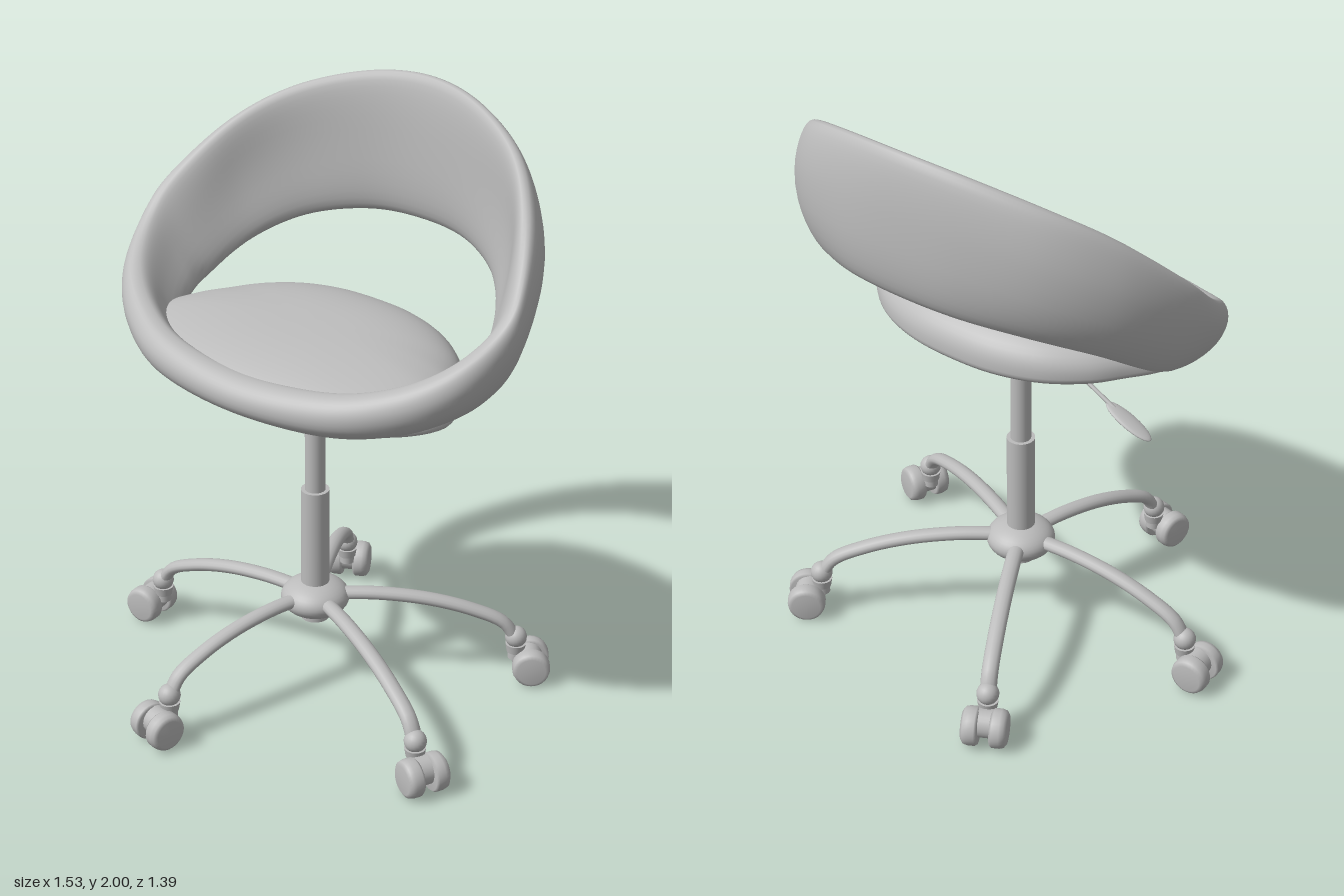
import * as THREE from 'three';

const grey = new THREE.MeshStandardMaterial({ color: 0xbcbcbc });
grey.name = 'grey';

const V = (x, y, z) => new THREE.Vector3(x, y, z);
const spow = (v, p) => Math.sign(v) * Math.pow(Math.abs(v), p);

function add(parent, name, geo, x = 0, y = 0, z = 0) {
  const m = new THREE.Mesh(geo, grey);
  m.name = name;
  m.position.set(x, y, z);
  parent.add(m);
  return m;
}

// Closed curve through key points given from front to back, mirrored in x
function mirroredLoop(keys, sign = -1) {
  const pts = keys.map(k => V(...k));
  for (let i = keys.length - 2; i > 0; i--) pts.push(V(sign * keys[i][0], keys[i][1], keys[i][2]));
  return new THREE.CatmullRomCurve3(pts, true, 'catmullrom', 0.5);
}

// Surface from nu cross-sections of nv points, closed round u
function loft(nu, nv, closedV, fn) {
  const pos = [], idx = [];
  for (let i = 0; i < nu; i++) for (let j = 0; j < nv; j++) pos.push(...fn(i / nu, j).toArray());
  const at = (i, j) => (i % nu) * nv + (j % nv);
  for (let i = 0; i < nu; i++) for (let j = 0; j < (closedV ? nv : nv - 1); j++) {
    idx.push(at(i, j), at(i, j + 1), at(i + 1, j));
    idx.push(at(i + 1, j), at(i, j + 1), at(i + 1, j + 1));
  }
  const g = new THREE.BufferGeometry();
  g.setAttribute('position', new THREE.Float32BufferAttribute(pos, 3));
  g.setIndex(idx);
  g.computeVertexNormals();
  return g;
}

// Ring that rises from the front roll through the arms to the backrest
function backrestGeometry() {
  const top = mirroredLoop([
    [0, 1.28, 0.36], [0.3, 1.30, 0.33], [0.5, 1.345, 0.25], [0.64, 1.42, 0.14], [0.71, 1.52, 0],
    [0.695, 1.63, -0.11], [0.59, 1.79, -0.28], [0.44, 1.9, -0.42], [0.22, 1.975, -0.52], [0, 2, -0.555]]);
  const bottom = mirroredLoop([
    [0, 1.15, 0.34], [0.3, 1.155, 0.3], [0.48, 1.18, 0.21], [0.58, 1.215, 0.1], [0.61, 1.24, -0.02],
    [0.6, 1.28, -0.13], [0.52, 1.385, -0.29], [0.39, 1.46, -0.43], [0.2, 1.5, -0.525], [0, 1.51, -0.55]]);
  // half thickness, outward bow, inner flare at the foot
  const form = mirroredLoop([
    [0.06, 0.02, 0.6], [0.06, 0.02, 0.6], [0.06, 0.02, 0.8], [0.06, 0.02, 0.9], [0.055, 0.02, 0.8],
    [0.055, 0.02, 0.35], [0.055, 0.035, 0.1], [0.055, 0.025, 0], [0.052, 0.01, 0], [0.05, 0.005, 0]], 1);
  const nv = 36;
  return loft(144, nv, true, (u, j) => {
    const T = top.getPoint(u), B = bottom.getPoint(u), f = form.getPoint(u);
    const n = V(T.x / 0.555, 0, (T.z + 0.08) / 0.265).normalize();
    const a = j / nv * Math.PI * 2;
    const s = 0.5 + 0.5 * spow(Math.cos(a), 0.85), side = spow(Math.sin(a), 0.8);
    const flare = side < 0 ? 1 + f.z * (1 - s) : 1;
    const off = f.x * side * flare * (1.1 - 0.25 * s) + f.y * Math.sin(Math.PI * s);
    return B.lerp(T, s).addScaledVector(n, off);
  });
}

// Padded seat with a domed top and flatter underside
function seatGeometry() {
  const edge = mirroredLoop([
    [0, 0, 0.40], [0.3, 0, 0.37], [0.5, 0, 0.27], [0.6, 0, 0.13], [0.57, 0, 0],
    [0.505, 0, -0.1], [0.43, 0, -0.2], [0.31, 0, -0.29], [0.16, 0, -0.342], [0, 0, -0.355]]);
  const nv = 33;
  return loft(96, nv, false, (u, j) => {
    const e = edge.getPoint(u), a = Math.PI / 2 - j / (nv - 1) * Math.PI;
    const r = Math.pow(Math.max(Math.cos(a), 0), 0.75), s = Math.sin(a);
    const x = e.x * r, z = 0.02 + (e.z - 0.02) * r;
    const height = s > 0 ? 0.135 - 0.07 * z : 0.068;
    return V(x, 1.21 + height * spow(s, 0.85), z);
  });
}

// Curved leg running out along +z from the hub, widened slightly
function addLeg(parent, reach) {
  const k = reach / 0.64;
  const path = new THREE.CatmullRomCurve3([
    V(0, 0.325, 0.05), V(0, 0.325, 0.2 * k), V(0, 0.305, 0.36 * k),
    V(0, 0.265, 0.5 * k), V(0, 0.215, 0.6 * k), V(0, 0.15, 0.64 * k)]);
  add(parent, 'leg', new THREE.TubeGeometry(path, 32, 0.021, 14)).scale.x = 1.3;
}

// Twin-wheel caster trailing outward
function addCaster(parent, reach) {
  const c = new THREE.Group();
  c.name = 'caster';
  c.position.z = reach;
  parent.add(c);
  add(c, 'casterStem', new THREE.CylinderGeometry(0.026, 0.026, 0.1, 20), 0, 0.13, 0);
  add(c, 'casterCollar', new THREE.SphereGeometry(0.037, 20, 14), 0, 0.16, 0);
  add(c, 'casterCup', new THREE.CylinderGeometry(0.035, 0.03, 0.03, 20), 0, 0.12, 0);
  const axle = new THREE.CylinderGeometry(0.048, 0.048, 0.06, 24).rotateZ(Math.PI / 2);
  add(c, 'casterHousing', axle, 0, 0.075, 0.045);
  // wheel outline with a rounded rim
  const profile = [[0, -0.028], [0.048, -0.028], [0.06, -0.02], [0.064, -0.006], [0.064, 0.018],
    [0.058, 0.026], [0, 0.028]].map(p => new THREE.Vector2(...p));
  for (const s of [-1, 1]) {
    const w = add(c, 'casterWheel', new THREE.LatheGeometry(profile, 28), s * 0.046, 0.064, 0.052);
    w.rotation.z = s * Math.PI / 2;
  }
}

export function createModel() {
  const model = new THREE.Group();
  model.name = 'swivelChair';
  add(model, 'backrest', backrestGeometry());
  add(model, 'seat', seatGeometry());

  // Column and base share one axis
  const base = new THREE.Group();
  base.name = 'base';
  base.position.set(-0.015, 0, -0.015);
  model.add(base);
  add(base, 'mountPlate', new THREE.CylinderGeometry(0.125, 0.125, 0.025, 40), 0, 1.1375, 0);
  const funnel = [[0.036, 1.0], [0.045, 1.03], [0.055, 1.055], [0.085, 1.085], [0.108, 1.11], [0.112, 1.13]];
  add(base, 'mountFunnel', new THREE.LatheGeometry(funnel.map(p => new THREE.Vector2(...p)), 36));
  add(base, 'upperColumn', new THREE.CylinderGeometry(0.034, 0.034, 0.36, 28), 0, 0.88, 0);
  add(base, 'lowerColumn', new THREE.CylinderGeometry(0.047, 0.047, 0.42, 32), 0, 0.51, 0);
  add(base, 'hub', new THREE.SphereGeometry(0.115, 36, 20), 0, 0.315, 0).scale.y = 0.56;
  add(base, 'hubCap', new THREE.CylinderGeometry(0.05, 0.048, 0.06, 28), 0, 0.265, 0);

  // Five legs, each ending at a caster pivot (x, z)
  for (const [x, z] of [[-0.13, 0.585], [0.645, 0.285], [0.53, -0.42], [-0.31, -0.555], [-0.64, 0.06]]) {
    const spoke = new THREE.Group(), reach = Math.hypot(x, z);
    spoke.name = 'spoke';
    spoke.rotation.y = Math.atan2(x, z);
    base.add(spoke);
    addLeg(spoke, reach);
    addCaster(spoke, reach);
  }

  // Height lever with a flat paddle
  const rod = new THREE.CatmullRomCurve3([
    V(-0.04, 1.1, 0), V(-0.13, 1.1, 0), V(-0.17, 1.093, 0), V(-0.25, 1.055, 0), V(-0.39, 0.985, 0)]);
  add(base, 'leverRod', new THREE.TubeGeometry(rod, 24, 0.007, 10));
  const paddle = add(base, 'leverPaddle', new THREE.SphereGeometry(1, 24, 14), -0.432, 0.966, 0);
  paddle.scale.set(0.095, 0.011, 0.032);
  paddle.rotation.z = 0.4;
  return model;
}
